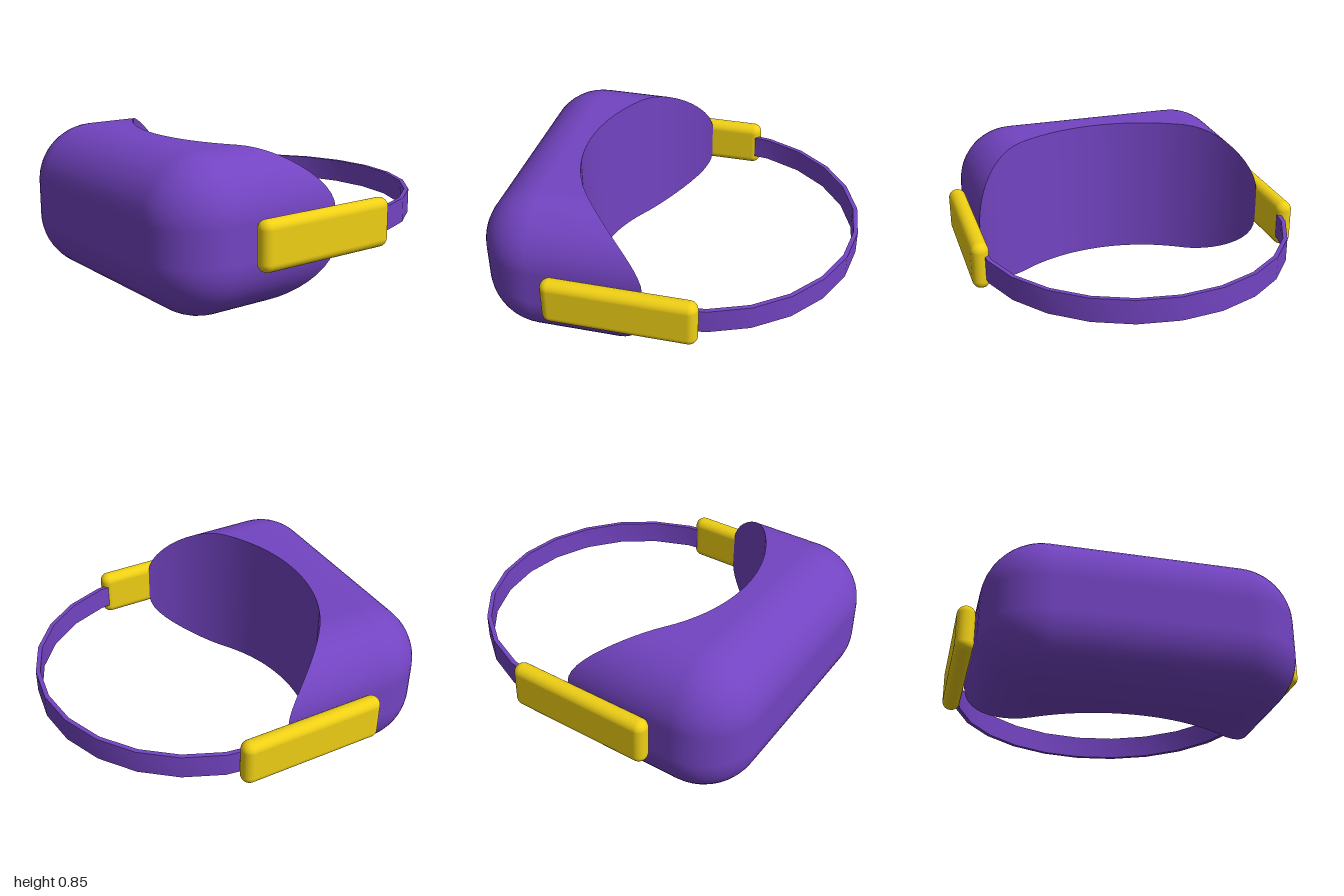
import * as THREE from 'three';
import { RoundedBoxGeometry } from 'three/addons/geometries/RoundedBoxGeometry.js';
import { toCreasedNormals } from 'three/addons/utils/BufferGeometryUtils.js';

const R = 0.33;                 // edge radius of the visor
const CX = 0.52, CY = 0.095;    // half size of its flat front
const MID_Y = 0.425, FRONT_Z = 1;
const CUT_R = 0.935, CUT_Z = -0.36; // face curve hollowed from the back
const cutZ = (x) => CUT_Z + Math.sqrt(CUT_R * CUT_R - x * x);

// Rounded-rectangle outline, counterclockwise from the front: upper half, then its mirror
function outline() {
  const top = [], arc = 12, flat = 24;
  const add = (cx, a) => top.push({ cx, cy: CY, nx: Math.cos(a), ny: Math.sin(a) });
  for (let i = 0; i <= arc; i++) add(CX, (i / arc) * Math.PI / 2);
  for (let i = 1; i < flat; i++) add(CX - (2 * CX * i) / flat, Math.PI / 2);
  for (let i = 0; i <= arc; i++) add(-CX, (1 + i / arc) * Math.PI / 2);
  const bottom = top.map((p) => ({ ...p, cy: -p.cy, ny: -p.ny })).reverse();
  return [...top, ...bottom];
}

function makeGeometry(pos, nor, idx) {
  const g = new THREE.BufferGeometry();
  g.setAttribute('position', new THREE.Float32BufferAttribute(pos, 3));
  g.setAttribute('normal', new THREE.Float32BufferAttribute(nor, 3));
  g.setIndex(idx);
  return g;
}

// Shell: wall from the face curve, then rings rounding over to the flat front
function shellGeometry() {
  const loop = outline(), n = loop.length, steps = 12;
  const pos = [], nor = [], idx = [];
  for (let k = -1; k <= steps; k++) {
    const a = (Math.max(k, 0) / steps) * Math.PI / 2;
    const c = Math.cos(a), s = Math.sin(a);
    for (const p of loop) {
      const x = p.cx + R * c * p.nx, y = MID_Y + p.cy + R * c * p.ny;
      pos.push(x, y, k < 0 ? cutZ(x) : FRONT_Z - R + R * s);
      nor.push(c * p.nx, c * p.ny, s);
    }
  }
  const last = (steps + 1) * n;
  for (let k = 0; k <= steps; k++) {
    for (let i = 0; i < n; i++) {
      const j = (i + 1) % n, a = k * n, b = a + n;
      idx.push(a + i, a + j, b + j, a + i, b + j, b + i);
    }
  }
  for (let i = 0; i < n / 2 - 1; i++) {
    const t = last + i, b = last + n - 1 - i;
    idx.push(t, t + 1, b - 1, t, b - 1, b);
  }
  return makeGeometry(pos, nor, idx);
}

// Concave face side, ruled between the upper and lower rims
function faceGeometry() {
  const loop = outline(), n = loop.length;
  const pos = [], nor = [], idx = [];
  for (const p of loop) {
    const x = p.cx + R * p.nx, z = cutZ(x);
    pos.push(x, MID_Y + p.cy + R * p.ny, z);
    nor.push(-x / CUT_R, 0, (CUT_Z - z) / CUT_R);
  }
  for (let i = 0; i < n / 2 - 1; i++) {
    const b = n - 1 - i;
    idx.push(i, b - 1, i + 1, i, b, b - 1);
  }
  return makeGeometry(pos, nor, idx);
}

export function createModel() {
  const group = new THREE.Group();
  const purple = new THREE.MeshStandardMaterial({ color: 0x7344c2 });
  const yellow = new THREE.MeshStandardMaterial({ color: 0xf0d015 });
  const add = (name, geometry, material) => {
    const mesh = new THREE.Mesh(geometry, material);
    mesh.name = name;
    group.add(mesh);
    return mesh;
  };

  add('visorShell', shellGeometry(), purple);
  add('visorFaceSide', faceGeometry(), purple);

  // Side pods joining visor and strap
  for (const [name, side] of [['leftPod', 1], ['rightPod', -1]]) {
    add(name, new RoundedBoxGeometry(0.1, 0.27, 0.85, 5, 0.049), yellow)
      .position.set(side * 0.9, 0.418, 0.145);
  }

  // Half-circle head strap with a thin rectangular section
  const section = [[0.875, 0.345], [0.9, 0.345], [0.9, 0.482], [0.875, 0.482], [0.875, 0.345]]
    .map(([r, y]) => new THREE.Vector2(r, y));
  const strap = new THREE.LatheGeometry(section, 12, Math.PI / 2 - 0.017, Math.PI);
  add('headStrap', toCreasedNormals(strap, 0.5), purple).position.z = -0.1;

  return group;
}
